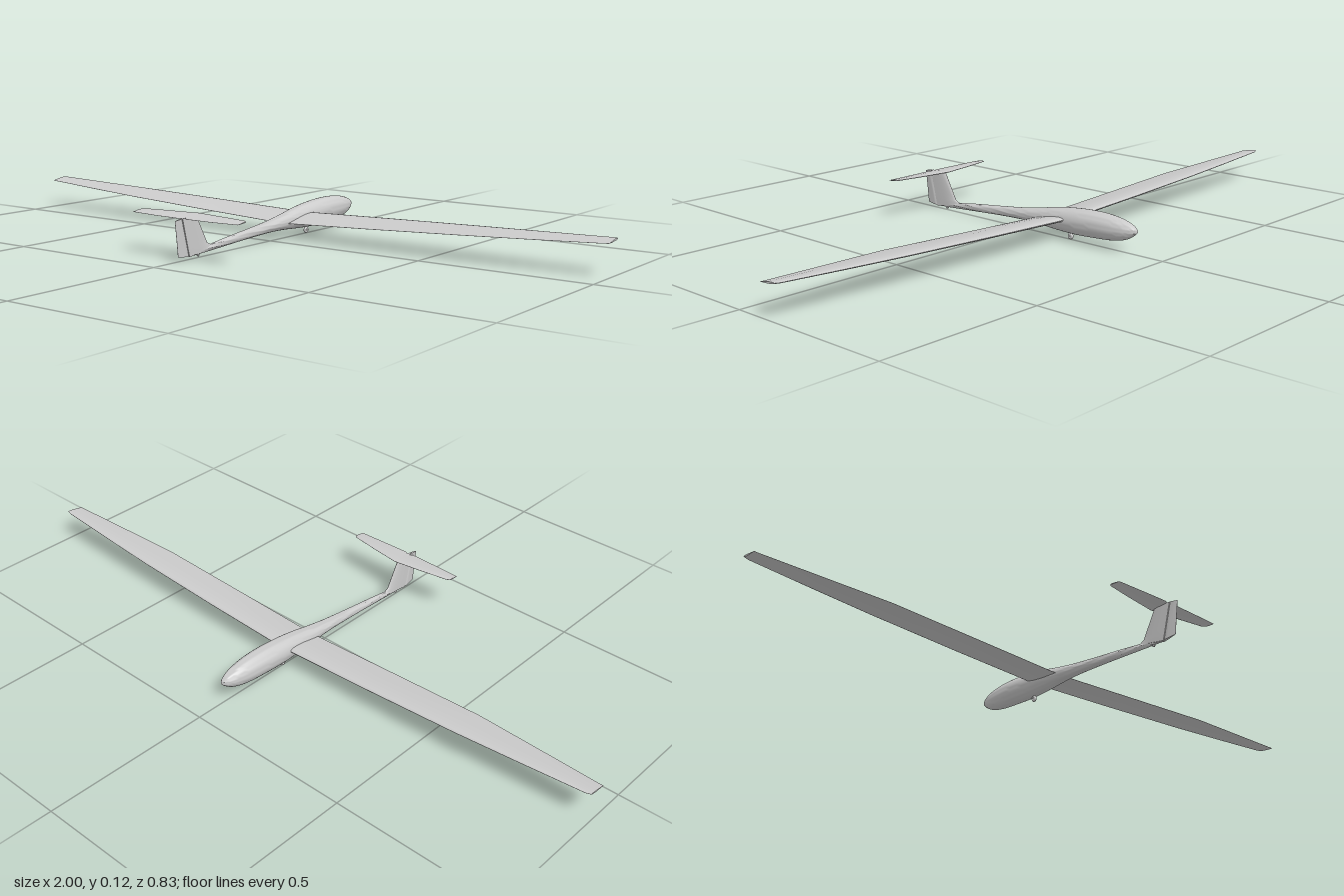
import * as THREE from 'three';
import { toCreasedNormals } from 'three/addons/utils/BufferGeometryUtils.js';

const material = new THREE.MeshStandardMaterial({ color: 0xcccccc });

// Skin a row of equal closed rings, cap both ends and keep the hard edges.
function loft(name, rings, crease = 0.7) {
  const n = rings[0].length, pos = [], idx = [];
  rings.forEach((r) => r.forEach((p) => pos.push(p.x, p.y, p.z)));
  for (let i = 0; i < rings.length - 1; i++) {
    for (let j = 0; j < n; j++) {
      const a = i * n + j, b = i * n + (j + 1) % n;
      idx.push(a, b, b + n, a, b + n, a + n);
    }
  }
  [0, rings.length - 1].forEach((i) => {
    const mid = new THREE.Vector3();
    rings[i].forEach((p) => mid.addScaledVector(p, 1 / n));
    const m = pos.length / 3;
    pos.push(mid.x, mid.y, mid.z);
    for (let j = 0; j < n; j++) {
      const a = i * n + j, b = i * n + (j + 1) % n;
      if (i) idx.push(m, a, b); else idx.push(m, b, a);
    }
  });
  // Turn the faces outward if the enclosed volume comes out negative.
  const at = (i) => new THREE.Vector3().fromArray(pos, i * 3);
  let volume = 0;
  for (let i = 0; i < idx.length; i += 3) {
    volume += at(idx[i]).dot(at(idx[i + 1]).cross(at(idx[i + 2])));
  }
  if (volume < 0) idx.reverse();
  const g = new THREE.BufferGeometry();
  g.setAttribute('position', new THREE.Float32BufferAttribute(pos, 3));
  g.setIndex(idx);
  const mesh = new THREE.Mesh(toCreasedNormals(g, crease), material);
  mesh.name = name;
  return mesh;
}

// Profiles as [position along chord, share of half thickness].
const wingFoil = [[0, 0], [0.015, 0.35], [0.06, 0.66], [0.15, 0.9], [0.3, 1], [0.5, 0.88], [0.75, 0.48], [1, 0.04]];
const finFoil = [[0, 0], [0.03, 0.4], [0.12, 0.7], [0.3, 0.95], [0.5, 1], [0.8, 0.9], [1, 0.75]];
const rudderFoil = [[0, 0.45], [0.12, 0.72], [0.3, 0.65], [0.65, 0.35], [1, 0.05]];

// Ring of one foil section between a leading and a trailing point.
function section(foil, le, te, half, dir) {
  const a = new THREE.Vector3(...le), b = new THREE.Vector3(...te);
  const d = new THREE.Vector3(...dir);
  const point = (u, t) => a.clone().lerp(b, u).addScaledVector(d, t * half);
  const upper = foil.map(([u, t]) => point(u, t));
  const lower = foil.filter(([, t]) => t > 0).map(([u, t]) => point(u, -t)).reverse();
  return upper.concat(lower);
}

// Stations of one half: [x, leading y, z, trailing y, z, half thickness].
function mirroredWing(name, stations) {
  const ring = (s, side) => section(wingFoil, [side * s[0], s[1], s[2]], [side * s[0], s[3], s[4]], s[5], [0, 1, 0]);
  const left = stations.slice().reverse().filter((s) => s[0] > 0).map((s) => ring(s, -1));
  return loft(name, left.concat(stations.map((s) => ring(s, 1))));
}

function wheel(name, y, z, radius, width) {
  const group = new THREE.Group();
  group.name = name;
  const tube = width / 2;
  const tyre = new THREE.Mesh(new THREE.TorusGeometry(radius - tube, tube, 12, 28), material);
  const hub = new THREE.Mesh(new THREE.CylinderGeometry(radius - tube, radius - tube, width * 0.7, 24), material);
  tyre.rotation.y = Math.PI / 2;
  hub.rotation.z = Math.PI / 2;
  tyre.name = 'tyre';
  hub.name = 'hub';
  group.add(tyre, hub);
  group.position.set(0, y, z);
  return group;
}

export function createModel() {
  const model = new THREE.Group();
  model.name = 'glider';

  // Fuselage: [z, bottom, top, half width], smoothed along its length.
  const body = [
    [-0.415, 0.064, 0.066, 0.001], [-0.407, 0.055, 0.075, 0.009], [-0.38, 0.038, 0.087, 0.021],
    [-0.335, 0.027, 0.096, 0.03], [-0.27, 0.022, 0.099, 0.0345], [-0.2, 0.019, 0.095, 0.0345],
    [-0.13, 0.021, 0.086, 0.031], [-0.06, 0.025, 0.072, 0.025], [0, 0.026, 0.062, 0.0195],
    [0.1, 0.022, 0.05, 0.0135], [0.2, 0.016, 0.039, 0.0095], [0.28, 0.011, 0.028, 0.0065],
    [0.362, 0.007, 0.012, 0.003],
  ];
  const curve = (k) => new THREE.CatmullRomCurve3(body.map((s) => new THREE.Vector3(s[k], 0, s[0])));
  const [bottom, top, width] = [1, 2, 3].map(curve);
  const rings = [];
  for (let i = 0; i <= 48; i++) {
    const lo = bottom.getPoint(i / 48), hi = top.getPoint(i / 48), w = width.getPoint(i / 48).x;
    const ring = [];
    for (let j = 0; j < 32; j++) {
      const a = (j / 32) * Math.PI * 2;
      ring.push(new THREE.Vector3(w * Math.cos(a), (lo.x + hi.x) / 2 + (hi.x - lo.x) / 2 * Math.sin(a), lo.z));
    }
    rings.push(ring);
  }
  model.add(loft('fuselage', rings, 1));

  // Long wing with dihedral and tapered outer panels.
  model.add(mirroredWing('wing', [
    [0, 0.061, -0.178, 0.045, -0.055, 0.0085],
    [0.3, 0.071, -0.174, 0.058, -0.055, 0.0075],
    [0.6, 0.081, -0.166, 0.072, -0.057, 0.0062],
    [0.8, 0.088, -0.156, 0.08, -0.072, 0.005],
    [0.985, 0.095, -0.146, 0.088, -0.087, 0.0035],
    [1, 0.096, -0.142, 0.089, -0.088, 0.0025],
  ]));

  // High tailplane with a small rudder notch in the trailing edge.
  model.add(mirroredWing('tailplane', [
    [0, 0.12, 0.312, 0.115, 0.375, 0.0035],
    [0.014, 0.12, 0.314, 0.114, 0.386, 0.0035],
    [0.1, 0.12, 0.326, 0.114, 0.384, 0.003],
    [0.178, 0.12, 0.339, 0.115, 0.38, 0.0022],
    [0.186, 0.119, 0.346, 0.115, 0.379, 0.0014],
  ]));

  // Swept fin blending into the tail boom, with the rudder hinged behind it.
  const upright = (foil, list) => list.map(([ly, lz, ty, tz, half]) => section(foil, [0, ly, lz], [0, ty, tz], half, [1, 0, 0]));
  model.add(loft('fin', upright(finFoil, [
    [0.027, 0.258, 0.007, 0.361, 0.006],
    [0.03, 0.27, 0.016, 0.364, 0.006],
    [0.036, 0.283, 0.027, 0.367, 0.006],
    [0.05, 0.291, 0.044, 0.371, 0.0058],
    [0.119, 0.329, 0.115, 0.388, 0.005],
  ])));
  model.add(loft('rudder', upright(rudderFoil, [
    [0.008, 0.363, 0.012, 0.404, 0.006],
    [0.06, 0.376, 0.06, 0.409, 0.0057],
    [0.115, 0.39, 0.111, 0.415, 0.005],
  ])));

  // Landing gear
  model.add(wheel('mainWheel', 0.0095, -0.177, 0.0095, 0.008));
  model.add(wheel('tailWheel', 0.0075, 0.322, 0.005, 0.004));
  return model;
}
